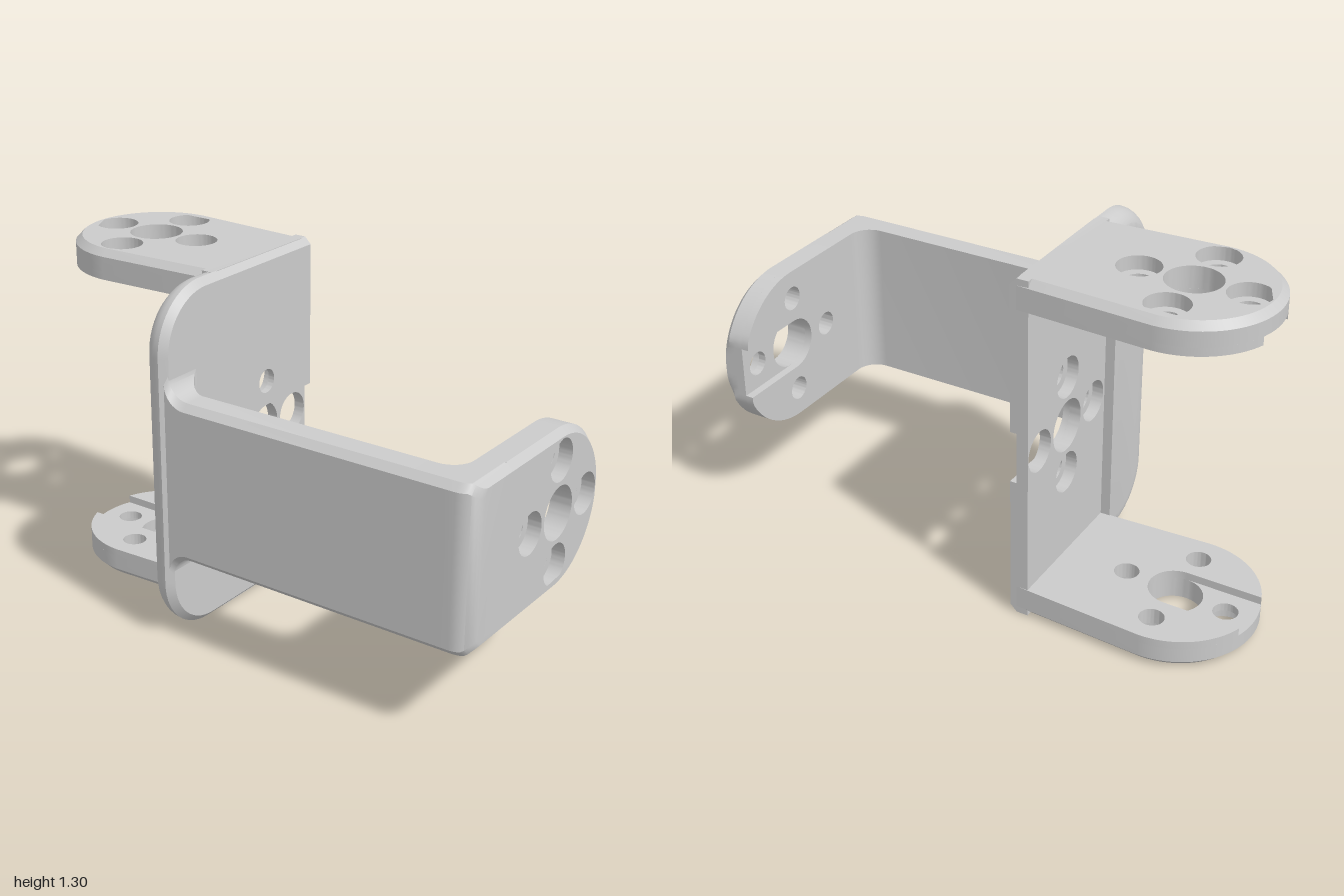
import * as THREE from 'three';
import { mergeGeometries, toCreasedNormals } from 'three/addons/utils/BufferGeometryUtils.js';

const C = 0.025;             // edge chamfer
const R = 0.297;             // tab end radius
const BORE = 0.097, SMALL = 0.045, SINK = 0.076, PITCH = 0.19;
const CX = 0.135, CY = 0.637; // hole pattern centre
const material = new THREE.MeshStandardMaterial({ color: 0xcccccc });
const P = (x, y) => new THREE.Vector2(x, y);

function addMesh(group, name, parts) {
  const merged = parts.length > 1 ? mergeGeometries(parts) : parts[0];
  const mesh = new THREE.Mesh(toCreasedNormals(merged, 0.5), material);
  mesh.name = name;
  group.add(mesh);
  return mesh;
}

// Places local axes: u along the slot, v across, w through the thickness
function orient(mesh, u, v, w, pos) {
  const m = new THREE.Matrix4().makeBasis(
    new THREE.Vector3(...u), new THREE.Vector3(...v), new THREE.Vector3(...w));
  mesh.applyMatrix4(m.setPosition(...pos));
}

// Slab from outline a at w0 to outline b at w1, pierced by round holes [u, v, r]
function layer(a, b, w0, w1, holes = []) {
  const shape = new THREE.Shape(a);
  for (const [u, v, r] of holes) shape.holes.push(new THREE.Path().absarc(u, v, r, 0, Math.PI * 2, true));
  const geo = new THREE.ExtrudeGeometry(shape, { depth: w1 - w0, bevelEnabled: false, curveSegments: 36 });
  const pos = geo.attributes.position;
  for (let i = 0; i < pos.count; i++) {
    if (pos.getZ(i) > (w1 - w0) / 2) {
      const k = a.findIndex(p => Math.hypot(p.x - pos.getX(i), p.y - pos.getY(i)) < 1e-5);
      if (k >= 0) pos.setXY(i, b[k].x, b[k].y);
    }
    pos.setZ(i, pos.getZ(i) + w0);
  }
  return geo;
}

// Centre bore plus four screw holes; a slot swallows the bore and the outermost hole
function holePattern(r, slotted) {
  const list = [[-PITCH, 0, r], [0, PITCH, r], [0, -PITCH, r]];
  if (!slotted) list.push([PITCH, 0, r], [0, 0, BORE]);
  return list;
}

// Slot boundary running round the far side of the bore, from +v to -v or back
function slotBoundary() {
  const pts = [];
  for (let i = 0; i <= 18; i++) {
    const t = -Math.PI / 2 - Math.PI * i / 18;
    pts.push(P(BORE * Math.cos(t), BORE * Math.sin(t)));
  }
  return pts;
}

// Round-ended tab outline
function tabOutline(inset, start, baseHalf, clip, slot) {
  const pts = [P(start, -baseHalf + inset)];
  const r = R - inset;
  const arc = (t0, t1, n) => {
    for (let i = 0; i <= n; i++) {
      const t = t0 + (t1 - t0) * i / n;
      pts.push(P(Math.min(r * Math.cos(t), clip), r * Math.sin(t)));
    }
  };
  const q = Math.PI / 2, s = Math.asin(BORE / R);
  if (slot) {
    arc(-q, -s, 18);
    pts.push(...slotBoundary());
    arc(s, q, 18);
  } else arc(-q, q, 48);
  pts.push(P(start, baseHalf - inset));
  return pts;
}

function tabLayers(start, baseHalf, clip) {
  const full = tabOutline(0, start, baseHalf, clip, false);
  const notched = tabOutline(0, start, baseHalf, clip, true);
  const inner = tabOutline(C, start, baseHalf, clip, false);
  return [
    layer(notched, notched, 0, 0.03, holePattern(SMALL, true)),
    layer(full, full, 0.03, 0.06, holePattern(SMALL)),
    layer(full, full, 0.06, 0.11 - C, holePattern(SINK)),
    layer(full, inner, 0.11 - C, 0.11, holePattern(SINK)),
  ];
}

// Back plate outline, rounded on the arm side, straight at u = right
const V0 = CY - 1.303, V1 = CY, U0 = -0.433 - CX, U1 = 0.405 - CX, STEP = -0.14 - CX;
function plateOutline(inset, right, slot) {
  const pts = [], r = 0.23 - inset;
  const corner = (v, t0) => {
    for (let i = 0; i <= 14; i++) {
      const t = t0 + Math.PI / 2 * i / 14;
      pts.push(P(U0 + 0.23 + r * Math.cos(t), v + r * Math.sin(t)));
    }
  };
  pts.push(P(right, V1 - inset));
  corner(V1 - 0.23, Math.PI / 2);
  corner(V0 + 0.23, Math.PI);
  pts.push(P(right, V0 + inset));
  if (slot) pts.push(P(right, -BORE), ...slotBoundary(), P(right, BORE));
  return pts;
}

function plateLayers() {
  const parts = [];
  // front skin with slot and chamfered rim
  const full = plateOutline(0, U1, true), inner = plateOutline(C, U1, true);
  const skin = layer(full, inner, 0, C, holePattern(SMALL, true));
  // flip so the chamfered side faces front, reversing the triangles
  const pos = skin.attributes.position;
  for (let i = 0; i < pos.count; i++) pos.setZ(i, C - pos.getZ(i));
  for (let i = 0; i < pos.count; i += 3) {
    const a = new THREE.Vector3().fromBufferAttribute(pos, i + 1);
    const b = new THREE.Vector3().fromBufferAttribute(pos, i + 2);
    pos.setXYZ(i + 1, b.x, b.y, b.z);
    pos.setXYZ(i + 2, a.x, a.y, a.z);
  }
  parts.push(skin);
  // recessed web with screw head sinks
  const web = [P(STEP, V0), P(U1, V0), P(U1, V1), P(STEP, V1)];
  parts.push(layer(web, web, C, 0.068, holePattern(SINK)));
  // thicker edge with rounded back rim
  const n = 7, r = 0.08;
  const at = i => {
    const t = Math.PI / 2 * i / n;
    return [plateOutline(r * (1 - Math.cos(t)), STEP, false), C + r * Math.sin(t)];
  };
  for (let i = 0; i < n; i++) {
    const [a, w0] = at(i), [b, w1] = at(i + 1);
    parts.push(layer(a, b, w0, w1));
  }
  return parts;
}

// Arm lofted along z: flared root, filleted inner corner, rounded outer corner
function armGeometry() {
  const sections = [];
  const add = (z, xo, xi, h) => sections.push([
    [xo, CY - h + C, z], [xo + C, CY - h, z], [xi, CY - h, z],
    [xi, CY + h, z], [xo + C, CY + h, z], [xo, CY + h - C, z]]);
  const n = 8, r = 0.08, xo = -0.433, xi = -0.327;
  for (let i = 0; i <= n; i++) {
    const t = Math.PI / 2 * i / n, f = r * (1 - Math.sin(t));
    add(-0.2 + r * (1 - Math.cos(t)), xo, xi + f, R + f);
  }
  for (let i = 0; i <= n; i++) {
    const t = Math.PI / 2 * i / n;
    add(0.89 - r * (1 - Math.sin(t)), xo, xi + r * (1 - Math.cos(t)), R);
  }
  const ro = 0.065;
  add(0.89, xo, -0.2, R);
  for (let i = 0; i <= n; i++) {
    const t = Math.PI / 2 * i / n, z = 1 - ro + ro * Math.sin(t);
    add(z, xo + ro * (1 - Math.cos(t)), -0.2, R - Math.max(0, z - 1 + C));
  }
  const v = [];
  for (let i = 0; i + 1 < sections.length; i++) {
    for (let j = 0; j < 6; j++) {
      const k = (j + 1) % 6, s = sections[i], e = sections[i + 1];
      v.push(...s[j], ...s[k], ...e[k], ...s[j], ...e[k], ...e[j]);
    }
  }
  const end = sections[sections.length - 1];
  for (let j = 1; j < 5; j++) v.push(...end[0], ...end[j], ...end[j + 1]);
  const geo = new THREE.BufferGeometry();
  geo.setAttribute('position', new THREE.Float32BufferAttribute(v, 3));
  return geo;
}

export function createModel() {
  const group = new THREE.Group();
  group.name = 'servoBracket';

  orient(addMesh(group, 'backPlate', plateLayers()),
    [1, 0, 0], [0, -1, 0], [0, 0, -1], [CX, CY, -0.198]);

  addMesh(group, 'arm', [armGeometry()]);

  orient(addMesh(group, 'frontTab', tabLayers(-0.2 - CX, R, 0.405 - CX)),
    [1, 0, 0], [0, 1, 0], [0, 0, 1], [CX, CY, 0.89]);

  // upper and lower tabs, slots facing each other
  const start = -0.705 + 0.198 + C;
  orient(addMesh(group, 'upperTab', tabLayers(start, 0.272, 1)),
    [0, 0, -1], [-1, 0, 0], [0, 1, 0], [0.133, 1.193, -0.703]);
  orient(addMesh(group, 'lowerTab', tabLayers(start, 0.272, 1)),
    [0, 0, -1], [1, 0, 0], [0, -1, 0], [0.133, 0.11, -0.703]);

  return group;
}
